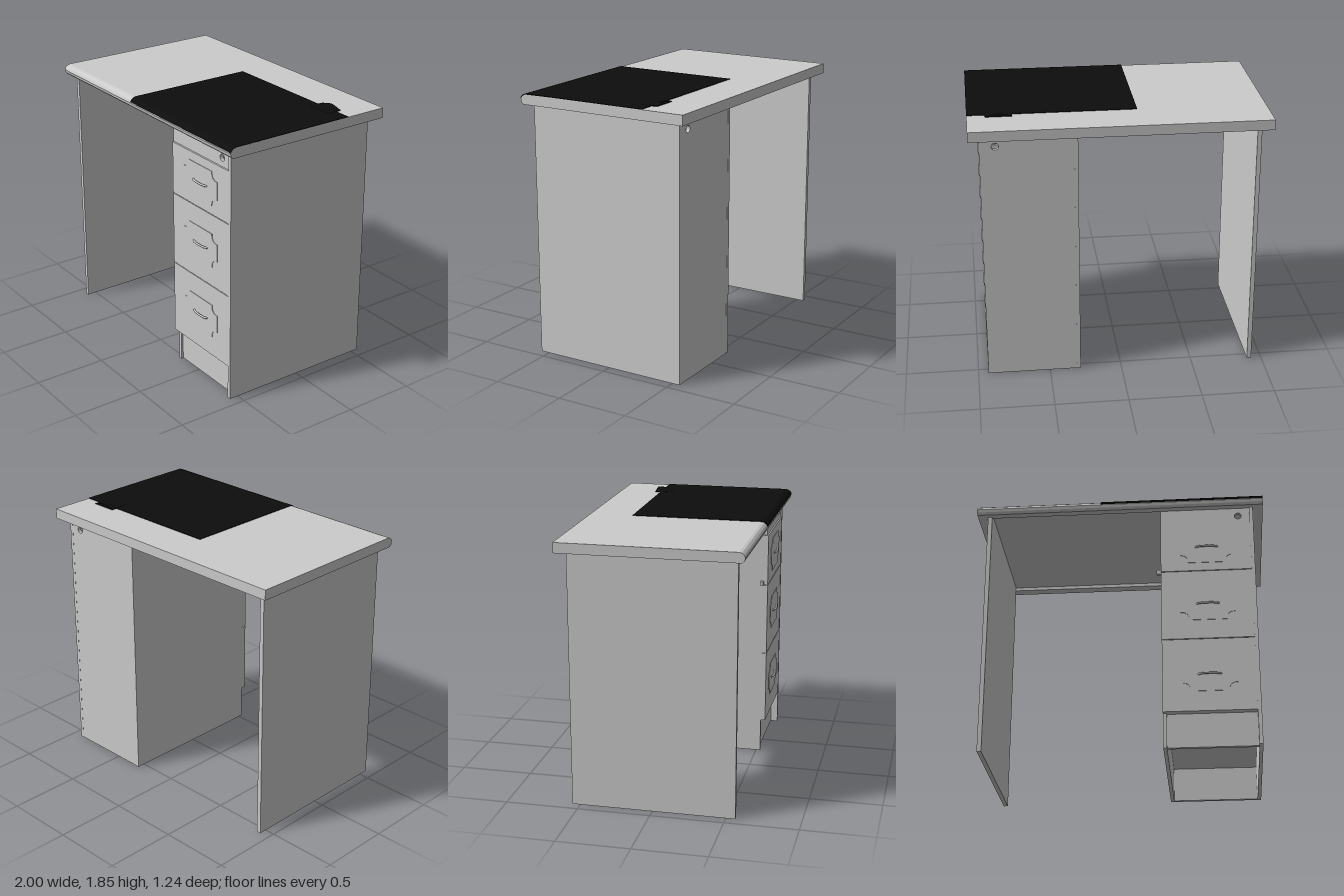
import * as THREE from 'three';

const grey = new THREE.MeshStandardMaterial({ color: 0xcccccc });
const black = new THREE.MeshStandardMaterial({ color: 0x0d0d0d });

export function createModel() {
  const desk = new THREE.Group();
  desk.name = 'desk';

  const add = (name, geometry, material = grey) => {
    const mesh = new THREE.Mesh(geometry, material);
    mesh.name = name;
    desk.add(mesh);
    return mesh;
  };

  // Box given by its limits on each axis
  const box = (name, [x0, x1], [y0, y1], [z0, z1], material) =>
    add(name, new THREE.BoxGeometry(x1 - x0, y1 - y0, z1 - z0), material)
      .position.set((x0 + x1) / 2, (y0 + y1) / 2, (z0 + z1) / 2);

  // Side profile of [z, y] points, swept from x0 to x1
  const sweepX = (name, profile, x0, x1, material) => {
    const shape = new THREE.Shape(profile.map(([z, y]) => new THREE.Vector2(-z, y)));
    const geometry = new THREE.ExtrudeGeometry(shape, { depth: x1 - x0, bevelEnabled: false });
    geometry.rotateY(Math.PI / 2).translate(x0, 0, 0);
    return add(name, geometry, material);
  };

  // Flat front-facing shape with thickness
  const plate = (name, shape, z0, depth, material) => {
    const geometry = new THREE.ExtrudeGeometry(shape, { depth, bevelEnabled: false, curveSegments: 12 });
    return add(name, geometry.translate(0, 0, z0), material);
  };

  // Table top with rounded front edge and a shallow recess underneath
  const nose = [[0.58, 1.83], [0.597, 1.825], [0.612, 1.812], [0.62, 1.795], [0.615, 1.775], [0.6, 1.76]];
  const outer = [[-0.62, 1.76], [-0.62, 1.83], ...nose];
  const recess = [[0.55, 1.76], [0.55, 1.785], [-0.55, 1.785], [-0.55, 1.76]];
  sweepX('tableTopLeftEnd', outer, -1, -0.9);
  sweepX('tableTopMiddle', [...outer, ...recess], -0.9, 0.9);
  sweepX('tableTopRightEnd', outer, 0.9, 1);

  // Desk mat, wrapped over the front edge
  const matTop = [[-0.32, 1.834], [0.58, 1.834], [0.598, 1.829], [0.615, 1.815], [0.622, 1.802]];
  const matUnder = [[0.617, 1.8], [0.609, 1.811], [0.595, 1.822], [0.58, 1.827], [-0.32, 1.827]];
  sweepX('deskMat', [...matTop, ...matUnder], -0.13, 1, black);

  // Arched clip at the back of the mat: rises toward the back, arched across
  const clip = new THREE.BoxGeometry(0.18, 0.008, 0.11, 16, 1, 6);
  const p = clip.attributes.position;
  for (let i = 0; i < p.count; i++) {
    const x = p.getX(i), z = p.getZ(i);
    const back = 0.5 - z / 0.11;
    if (p.getY(i) > 0) p.setY(i, 0.004 + 0.016 * back * Math.cos((x / 0.18) * Math.PI) ** 2);
    if (back > 0.6) p.setX(i, x * (1 - 0.05 * (back - 0.6)));
  }
  clip.computeVertexNormals();
  add('matClip', clip, black).position.set(0.79, 1.831, -0.305);

  // Upright panels
  box('leftLegPanel', [-0.93, -0.9], [0, 1.76], [-0.555, 0.565]);
  box('cabinetOuterSide', [0.905, 0.93], [0, 1.76], [-0.555, 0.565]);
  box('cabinetInnerSide', [0.285, 0.31], [0, 1.76], [-0.555, 0.53]);

  // Cabinet back and top fascia, each with a round cable hole
  const holed = (x0, x1, y0, y1) => {
    const shape = new THREE.Shape([[x0, y0], [x1, y0], [x1, y1], [x0, y1]].map(q => new THREE.Vector2(...q)));
    shape.holes.push(new THREE.Path().absarc(0.825, 1.7, 0.024, 0, Math.PI * 2, true));
    return shape;
  };
  plate('cabinetBack', holed(0.31, 0.905, 0, 1.76), -0.554, 0.025);
  plate('topFascia', holed(0.286, 0.905, 1.64, 1.76), 0.53, 0.025);

  // Cabinet floor and recessed plinth
  box('cabinetFloor', [0.31, 0.905], [0.24, 0.265], [-0.53, 0.53]);
  box('plinth', [0.31, 0.905], [0.005, 0.24], [0.49, 0.515]);

  // Raised drawer plaque with scooped corners
  const plaque = (cx, cy) => {
    const w = 0.185, h = 0.12, r = 0.045, lip = 0.012;
    const shape = new THREE.Shape();
    const corners = [[1, -1, Math.PI], [1, 1, 1.5 * Math.PI], [-1, 1, 0], [-1, -1, 0.5 * Math.PI]];
    corners.forEach(([sx, sy, a], i) => {
      const vertical = i % 2 === 0;
      const x = cx + sx * w, y = cy + sy * h;
      // small straight lip either side of each scoop
      if (vertical) shape[i ? 'lineTo' : 'moveTo'](x - sx * (r + lip), y);
      else shape.lineTo(x, y - sy * (r + lip));
      if (vertical) shape.lineTo(x - sx * (r + lip), y - sy * lip);
      else shape.lineTo(x - sx * lip, y - sy * (r + lip));
      shape.absarc(x - sx * lip, y - sy * lip, r, a, a - Math.PI / 2, true);
      if (vertical) shape.lineTo(x, y - sy * (r + lip));
      else shape.lineTo(x - sx * (r + lip), y);
    });
    return shape;
  };

  // Drawers: front, plaque and bowed handle
  const drawers = [[0.24, 0.758, 0.5], [0.763, 1.272, 1.02], [1.277, 1.637, 1.457]];
  for (const [y0, y1, cy] of drawers) {
    box('drawerFront', [0.285, 0.905], [y0, y1], [0.53, 0.563]);
    plate('drawerPlaque', plaque(0.6, cy), 0.56, 0.007);
    const bow = new THREE.CatmullRomCurve3([
      [0.525, 0.563], [0.535, 0.573], [0.565, 0.58], [0.6, 0.582], [0.635, 0.58], [0.665, 0.573], [0.675, 0.563],
    ].map(([x, z]) => new THREE.Vector3(x, cy, z)));
    add('drawerHandle', new THREE.TubeGeometry(bow, 24, 0.007, 8));
  }

  // Small catch on the inner side of the cabinet
  box('sideCatch', [0.255, 0.29], [1.275, 1.305], [0.515, 0.535]);

  return desk;
}
